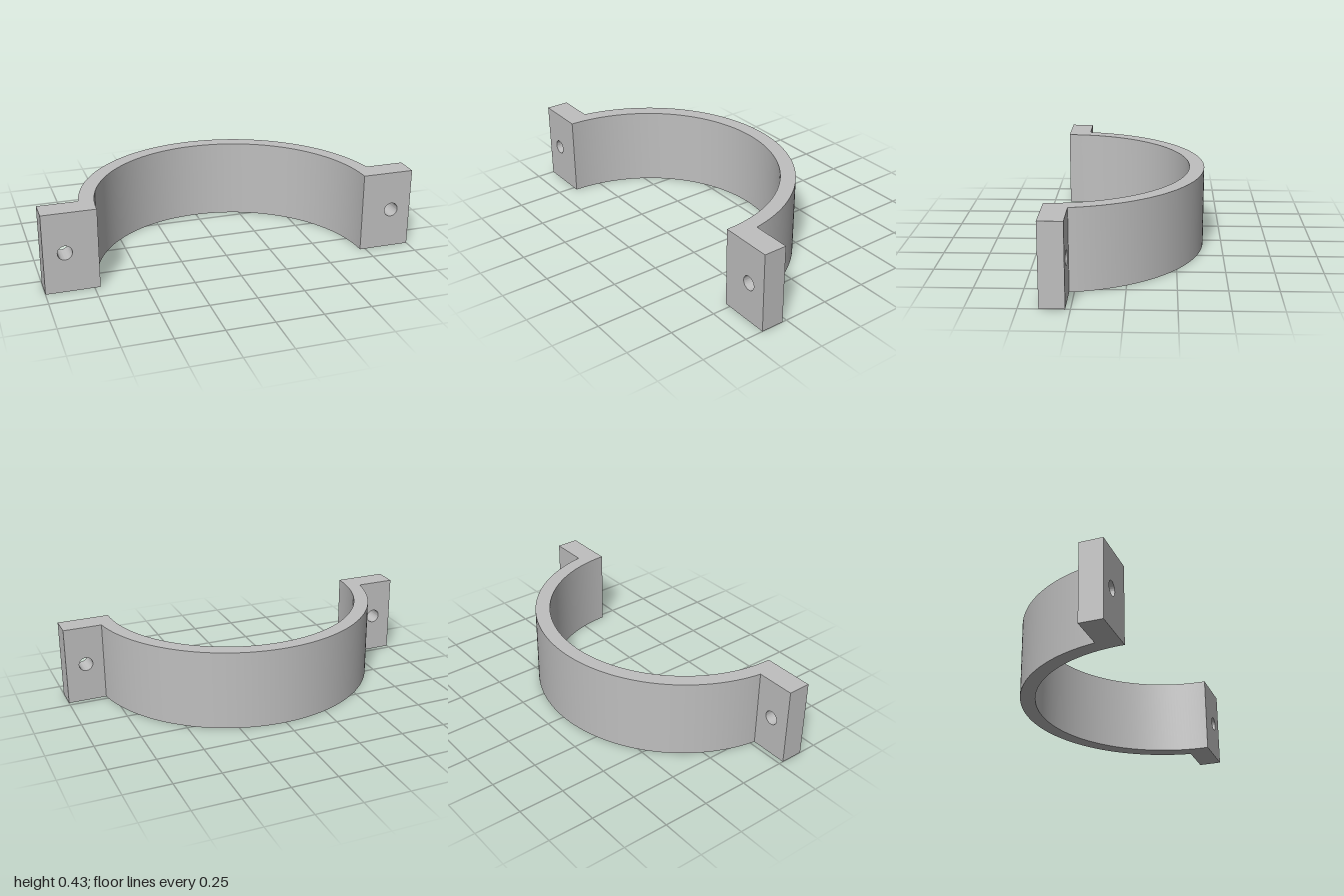
import * as THREE from 'three';
import { toCreasedNormals } from 'three/addons/utils/BufferGeometryUtils.js';

const HEIGHT = 0.43;
const OUTER = 0.8, INNER = 0.72;
const FRONT = 0.4; // plane of the mounting faces
const TAB_DEPTH = 0.125;

// Extrude with smooth curves and sharp edges
function extrude(shape, depth, curveSegments) {
  const geometry = new THREE.ExtrudeGeometry(shape, { depth, curveSegments, bevelEnabled: false });
  return toCreasedNormals(geometry, 0.6);
}

export function createModel() {
  const model = new THREE.Group();
  model.name = 'pipeClamp';
  const metal = new THREE.MeshStandardMaterial({ color: 0xbfbfbf });
  metal.name = 'grey metal';

  // Half-ring strap, drawn in plan and raised to its height
  const arc = new THREE.Shape();
  arc.absarc(0, 0, OUTER, 0, Math.PI, false);
  arc.absarc(0, 0, INNER, Math.PI, 0, true);
  arc.closePath();
  const strap = new THREE.Mesh(extrude(arc, HEIGHT, 64), metal);
  strap.name = 'strap';
  strap.rotation.x = -Math.PI / 2;
  strap.position.z = FRONT;
  model.add(strap);

  // Mounting tabs, each with a screw hole
  for (const side of [1, -1]) {
    const plate = new THREE.Shape();
    const x0 = side > 0 ? 0.79 : -1;
    const x1 = side > 0 ? 1 : -0.79;
    plate.moveTo(x0, 0);
    plate.lineTo(x1, 0);
    plate.lineTo(x1, HEIGHT);
    plate.lineTo(x0, HEIGHT);
    plate.closePath();
    const hole = new THREE.Path();
    hole.absarc(side * 0.89, HEIGHT / 2, 0.038, 0, Math.PI * 2, true);
    plate.holes.push(hole);
    const tab = new THREE.Mesh(extrude(plate, TAB_DEPTH, 24), metal);
    tab.name = side > 0 ? 'leftTab' : 'rightTab';
    tab.position.z = FRONT - TAB_DEPTH;
    model.add(tab);
  }
  return model;
}
